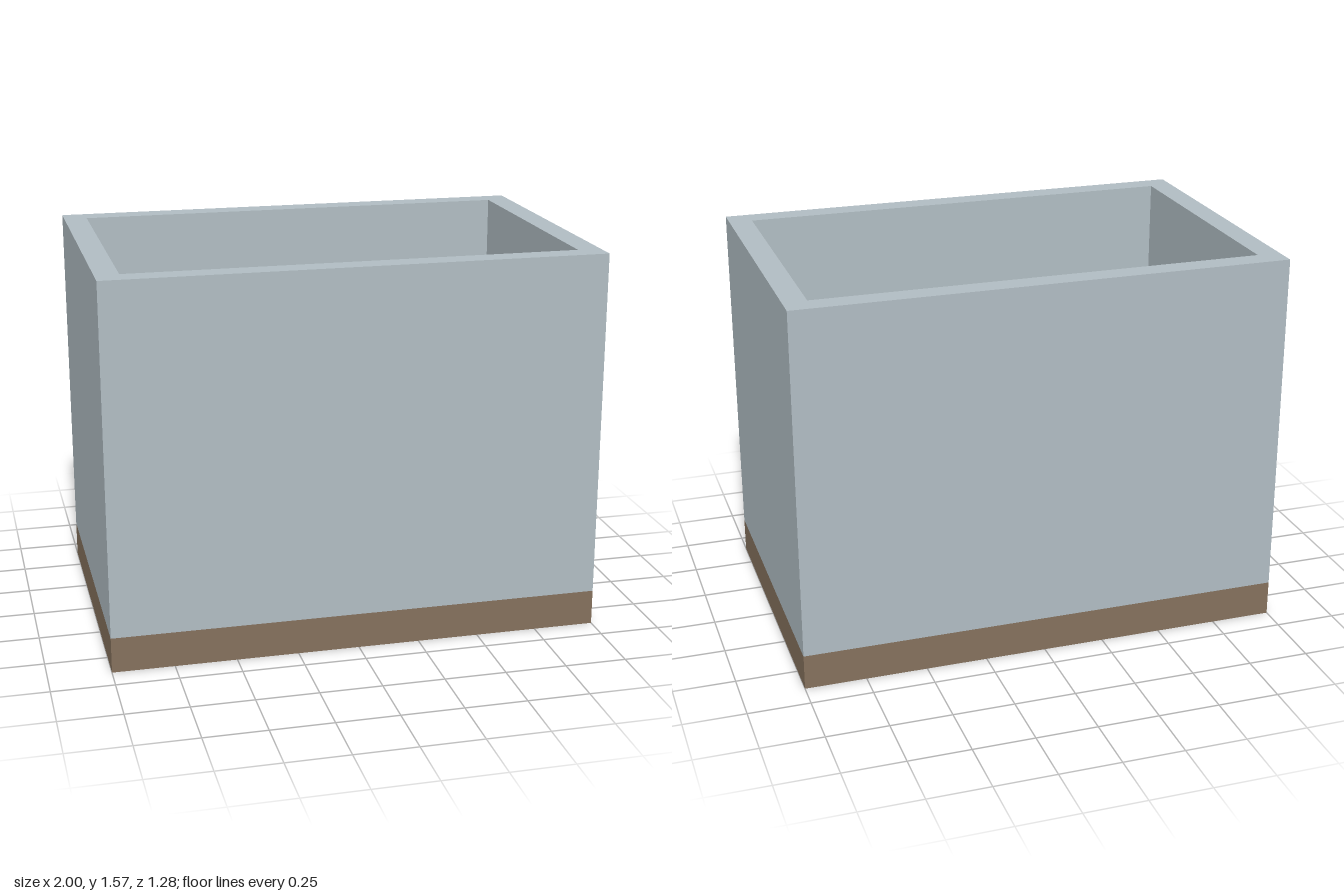
import * as THREE from 'three';
import { ConvexGeometry } from 'three/addons/geometries/ConvexGeometry.js';

const WIDTH = 2, DEPTH = 1.28;
const WALL_X = 0.095, WALL_Z = 0.093;
const BASE_TOP = 0.145, RIM = 1.57, WATER = 1.14;

export function createModel() {
  const material = (name, color) => new THREE.MeshStandardMaterial({ name, color });
  const wallGrey = material('wall grey', 0xb0bcc2);
  const baseBrown = material('base brown', 0x84705c);
  const waterBlue = material('water blue', 0x78a1ba);

  const group = new THREE.Group();
  group.name = 'waterTank';
  const add = (name, geometry, mat) => {
    const mesh = new THREE.Mesh(geometry, mat);
    mesh.name = name;
    group.add(mesh);
    return mesh;
  };

  // Solid base slab
  add('base', new THREE.BoxGeometry(WIDTH, BASE_TOP, DEPTH), baseBrown).position.y = BASE_TOP / 2;

  // Walls: rectangular ring extruded upwards
  const innerX = WIDTH / 2 - WALL_X, innerZ = DEPTH / 2 - WALL_Z;
  const rectangle = (Type, x, z) => new Type([[-x, -z], [x, -z], [x, z], [-x, z]]
    .map(([a, b]) => new THREE.Vector2(a, b)));
  const ring = rectangle(THREE.Shape, WIDTH / 2, DEPTH / 2);
  ring.holes.push(rectangle(THREE.Path, innerX, innerZ));
  const walls = new THREE.ExtrudeGeometry(ring, { depth: RIM - BASE_TOP, bevelEnabled: false });
  walls.rotateX(-Math.PI / 2);
  add('walls', walls, wallGrey).position.y = BASE_TOP;

  // Water filling the inside
  const waterDepth = WATER - BASE_TOP;
  add('water', new THREE.BoxGeometry(innerX * 2, waterDepth, innerZ * 2), waterBlue)
    .position.y = BASE_TOP + waterDepth / 2;

  // Angular fin breaking the water surface: x, height above water, z
  const fin = [
    [0.39, 0, -0.06], [0.5, 0, -0.165], [0.61, 0.028, -0.175],
    [0.576, 0.07, -0.005], [0.565, 0, 0.05], [0.61, -0.02, -0.175],
  ].map(([x, h, z]) => new THREE.Vector3(x, WATER + h, z));
  add('fin', new ConvexGeometry(fin), waterBlue);

  return group;
}
